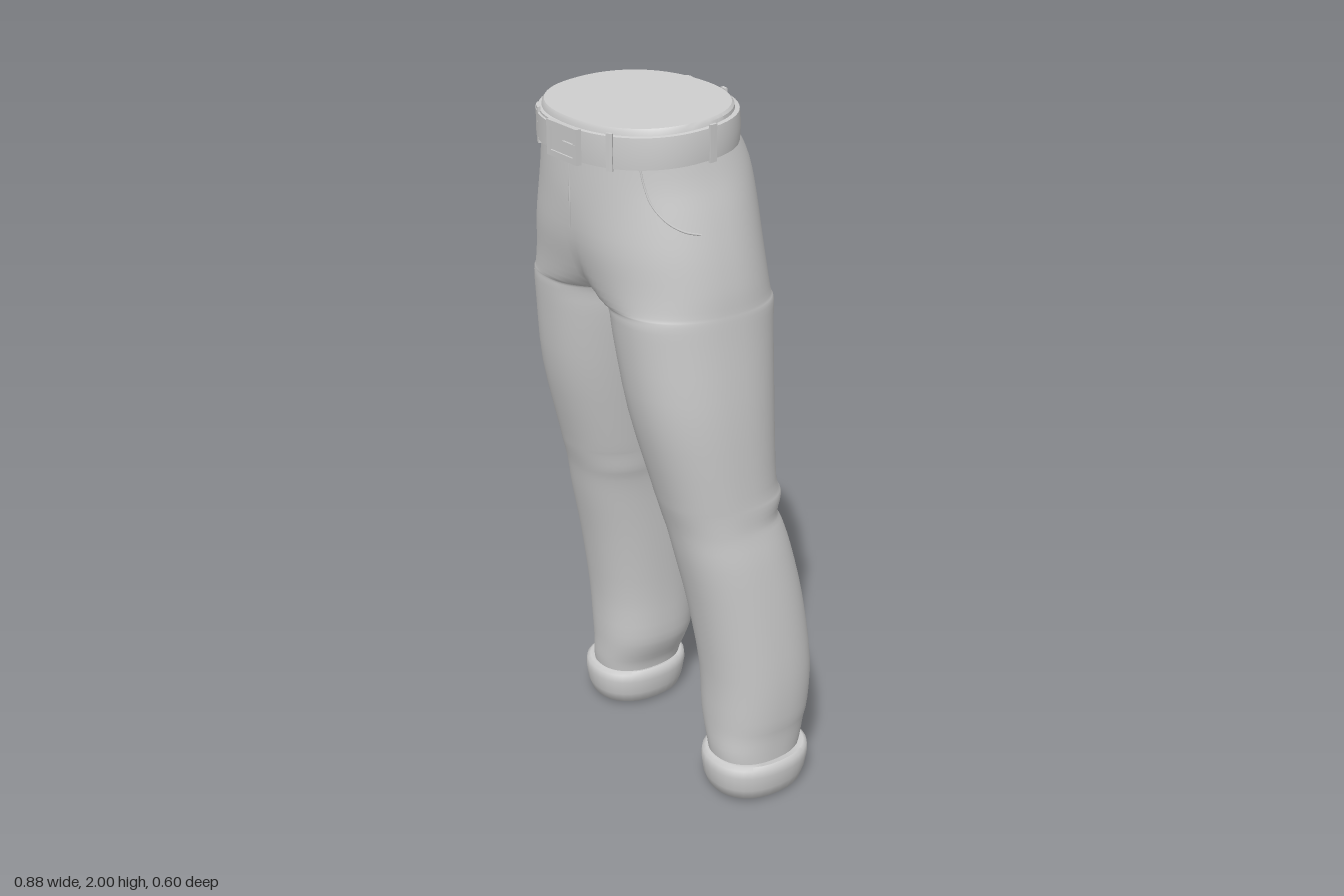
import * as THREE from 'three';
import { mergeGeometries, mergeVertices, toCreasedNormals } from 'three/addons/utils/BufferGeometryUtils.js';

const material = new THREE.MeshStandardMaterial({ color: 0xcccccc, side: THREE.DoubleSide });

// Leg and hip outline from hem to waist: [y, inner x, outer x, front z, back z]
const ROWS = [
  [0.08, 0.195, 0.405, 0.0, -0.255],
  [0.14, 0.188, 0.408, 0.01, -0.272],
  [0.2, 0.163, 0.412, 0.012, -0.285],
  [0.26, 0.148, 0.42, 0.015, -0.296],
  [0.4, 0.143, 0.425, 0.024, -0.296],
  [0.6, 0.128, 0.416, 0.058, -0.268],
  [0.76, 0.115, 0.402, 0.095, -0.232],
  [0.84, 0.105, 0.39, 0.112, -0.208],
  [0.88, 0.096, 0.385, 0.122, -0.192],
  [0.93, 0.088, 0.384, 0.137, -0.208],
  [0.98, 0.08, 0.382, 0.15, -0.191],
  [1.2, 0.045, 0.379, 0.208, -0.189],
  [1.4, 0.012, 0.366, 0.235, -0.195],
  [1.48, 0, 0.361, 0.243, -0.199],
  [1.5, -0.06, 0.359, 0.247, -0.2],
  [1.56, -0.16, 0.355, 0.257, -0.203],
  [1.65, -0.26, 0.342, 0.274, -0.206],
  [1.75, -0.321, 0.321, 0.281, -0.206],
  [1.83, -0.3, 0.3, 0.281, -0.19],
  [1.9, -0.286, 0.286, 0.279, -0.155],
];
const POWER = 2.25;
const bend = v => Math.sign(v) * Math.abs(v) ** (2 / POWER);

// Smooth interpolation of the outline, t counted in rows
function outline(t) {
  const n = ROWS.length - 1;
  const i = Math.min(Math.floor(t), n - 1), f = t - i;
  const r = k => ROWS[Math.max(0, Math.min(n, k))];
  return ROWS[0].map((_, c) => {
    const a = r(i - 1)[c], b = r(i)[c], d = r(i + 1)[c], e = r(i + 2)[c];
    const m0 = (d - a) / 2, m1 = (e - b) / 2;
    return b + f * (m0 + f * (3 * (d - b) - 2 * m0 - m1 + f * (2 * (b - d) + m0 + m1)));
  });
}

// The waist slopes down toward the front
const tilt = (y, z) => y - 0.09 * (z - 0.06) * THREE.MathUtils.smoothstep(y, 1.7, 1.88);

// Point on the left half; u = -1 is back centre, 0 outer side, 1 front centre
function cloth(u, t, lift = 0) {
  const [y, inner, outer, zf, zb] = outline(t);
  const cx = (inner + outer) / 2, rx = (outer - inner) / 2;
  const limit = Math.acos(-(Math.min(1, Math.max(0, cx / rx)) ** (POWER / 2)));
  const a = u * limit;
  const z = (zf + zb) / 2 + ((zf - zb) / 2 + lift) * bend(Math.sin(a));
  const x = cx + (rx + lift) * bend(Math.cos(a));
  return [Math.abs(u) === 1 && inner <= 0 ? 0 : x, tilt(y, z), z];
}

// Grid surface of f(i, j), facing dj x di
function grid(f, ni, nj) {
  const pos = [], idx = [];
  for (let j = 0; j <= nj; j++) for (let i = 0; i <= ni; i++) pos.push(...f(i, j));
  for (let j = 0; j < nj; j++) for (let i = 0; i < ni; i++) {
    const a = j * (ni + 1) + i, b = a + ni + 1;
    idx.push(a, b, a + 1, a + 1, b, b + 1);
  }
  const g = new THREE.BufferGeometry();
  g.setAttribute('position', new THREE.Float32BufferAttribute(pos, 3));
  g.setIndex(idx);
  return g;
}

function mirrored(g) {
  const m = g.clone().scale(-1, 1, 1);
  const a = m.index.array;
  for (let k = 0; k < a.length; k += 3) [a[k], a[k + 1]] = [a[k + 1], a[k]];
  return m;
}

function add(group, name, geometry) {
  const mesh = new THREE.Mesh(geometry, material);
  mesh.name = name;
  group.add(mesh);
  return mesh;
}

// Rounded oval point from a ring [y, half width, front z, back z]
function oval([y, rx, zf, zb], a, cx = 0) {
  const z = (zf + zb) / 2 + (zf - zb) / 2 * bend(Math.sin(a));
  return [cx + rx * bend(Math.cos(a)), tilt(y, z), z];
}

function loft(rings, cx, sides, crease) {
  const g = grid((i, j) => oval(rings[j], i / sides * Math.PI * 2, cx), sides, rings.length - 1);
  return toCreasedNormals(mergeVertices(g, 1e-5), crease);
}

// Raised strip lying on the belt between two angles
function beltStrip(a0, a1, y0, y1, thick, steps = 2) {
  const g = grid((i, j) => {
    const k = THREE.MathUtils.clamp((i - 1) / steps, 0, 1);
    const out = i === 0 || i === steps + 2 || j === 0 || j === 3 ? -0.004 : thick;
    return oval([j < 2 ? y0 : y1, 0.296 + out, 0.286 + out, -0.158 - out], a0 + (a1 - a0) * k);
  }, steps + 2, 3);
  return toCreasedNormals(g, 0.6);
}

export function createModel() {
  const model = new THREE.Group();
  model.name = 'trousers';

  // Legs and hips as one smooth skin
  const N = 56, M = (ROWS.length - 1) * 3;
  const half = grid((i, j) => cloth(i / N * 2 - 1, j / 3), N, M);
  const skin = mergeVertices(mergeGeometries([half, mirrored(half)]), 1e-5);
  skin.computeVertexNormals();
  add(model, 'legsAndHips', skin);

  // Turned-up cuffs with closed soles
  const cuff = [
    [0, 0, -0.13, -0.13], [0.003, 0.105, -0.005, -0.25], [0.012, 0.117, 0.012, -0.268],
    [0.045, 0.127, 0.024, -0.28], [0.09, 0.133, 0.03, -0.288], [0.115, 0.131, 0.027, -0.285],
    [0.123, 0.122, 0.016, -0.274], [0.118, 0.1, -0.01, -0.25],
  ];
  for (const s of [1, -1]) add(model, s > 0 ? 'leftCuff' : 'rightCuff', loft(cuff, s * 0.305, 32, 0.9));

  // Belt, then waistband with its closed top
  add(model, 'belt', loft([
    [1.884, 0.278, 0.27, -0.14], [1.884, 0.295, 0.285, -0.157], [1.925, 0.297, 0.287, -0.159],
    [1.963, 0.293, 0.284, -0.155], [1.966, 0.275, 0.268, -0.14],
  ], 0, 64, 0.6));
  add(model, 'waistband', loft([
    [1.95, 0.284, 0.277, -0.146], [1.974, 0.281, 0.275, -0.142], [1.981, 0.275, 0.27, -0.136],
    [1.981, 0, 0.067, 0.067],
  ], 0, 64, 0.6));

  // Belt loops, back panel and strap end
  const P = Math.PI;
  for (const a of [-0.06, P + 0.06, P * 0.33, P * 0.67, -P * 0.43, -P * 0.57]) {
    add(model, 'beltLoop', beltStrip(a - 0.035, a + 0.035, 1.878, 1.972, 0.004));
  }
  add(model, 'backPanel', beltStrip(-P * 0.555, -P * 0.445, 1.9, 1.955, 0.002, 6));
  add(model, 'strapEnd', beltStrip(P * 0.48, P * 0.78, 1.89, 1.958, 0.004, 16));

  // Buckle frame with prong
  const frame = new THREE.Shape();
  frame.moveTo(-0.068, -0.045).lineTo(0.068, -0.045).lineTo(0.068, 0.045).lineTo(-0.068, 0.045);
  const hole = new THREE.Path();
  hole.moveTo(-0.052, -0.03).lineTo(-0.052, 0.03).lineTo(0.052, 0.03).lineTo(0.052, -0.03);
  frame.holes.push(hole);
  const buckle = new THREE.Group();
  buckle.name = 'buckle';
  add(buckle, 'buckleFrame', new THREE.ExtrudeGeometry(frame, { depth: 0.015, bevelEnabled: false }));
  add(buckle, 'bucklePlate', new THREE.BoxGeometry(0.11, 0.065, 0.01)).position.z = 0.005;
  add(buckle, 'buckleProng', new THREE.BoxGeometry(0.06, 0.01, 0.008)).position.set(0.035, 0, 0.012);
  buckle.position.set(0.008, 1.904, 0.284);
  model.add(buckle);

  // Pocket seams and fly seam follow the cloth
  const seam = (name, pts) => {
    const path = pts.map(([u, t]) => new THREE.Vector3(...cloth(u, t, 0.0005)));
    return add(model, name, new THREE.TubeGeometry(new THREE.CatmullRomCurve3(path), 24, 0.003, 6));
  };
  const pocket = [[0.46, 18.9], [0.45, 18.2], [0.42, 17.5], [0.34, 16.95], [0.24, 16.7], [0.14, 16.6]];
  seam('leftPocketSeam', pocket);
  seam('rightPocketSeam', pocket).scale.x = -1;
  seam('flySeam', [[0.98, 18.9], [0.98, 18], [0.98, 17], [0.99, 16.3]]);

  return model;
}
